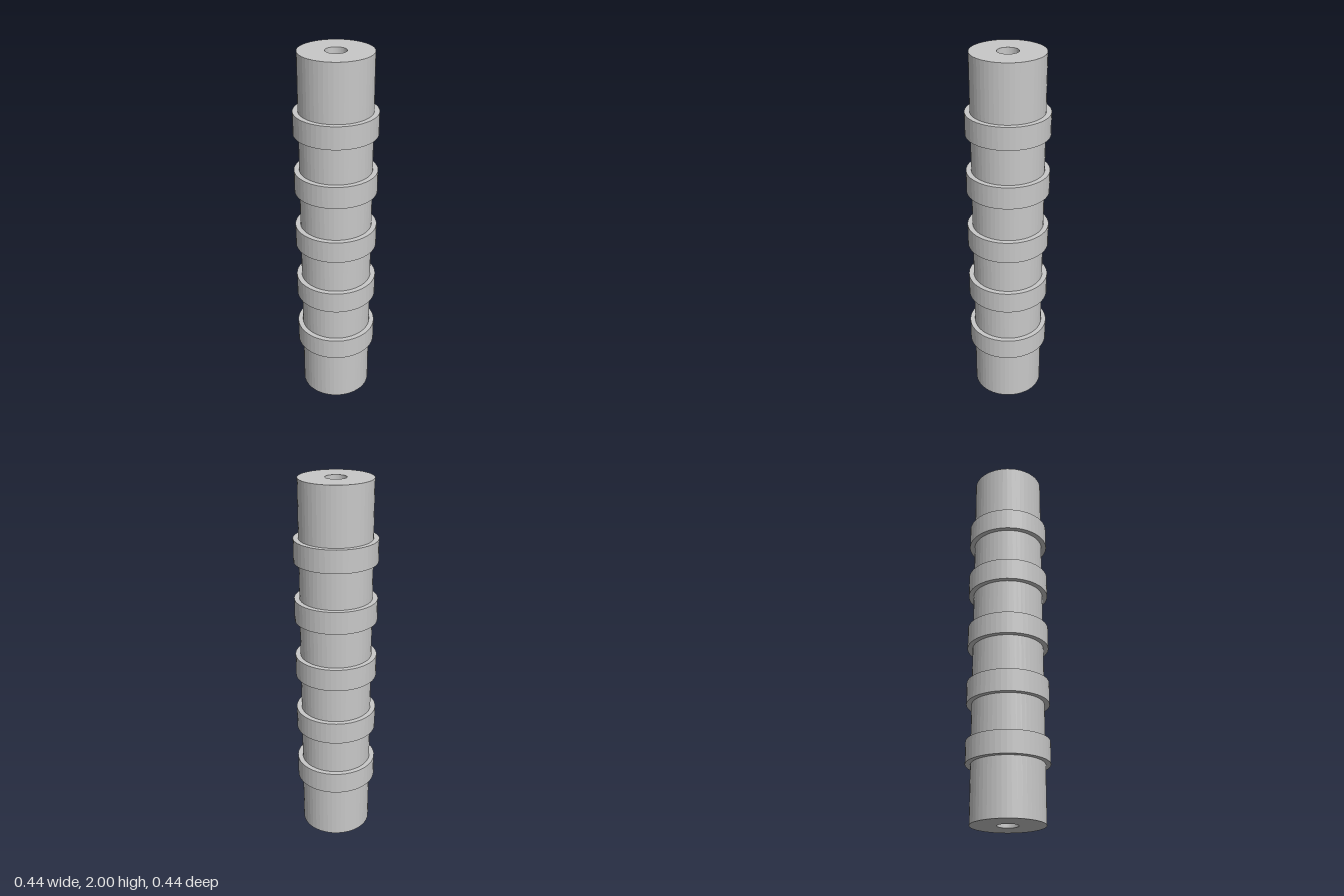
import * as THREE from 'three';

const SIDES = 48;
const BORE = 0.055, SHAFT = 0.191, COLLAR = 0.218;

// Turns a list of [radius, height] pairs into a faceted ring of revolution
function turned(profile) {
  const points = profile.map(([r, y]) => new THREE.Vector2(r, y));
  const geometry = new THREE.LatheGeometry(points, SIDES).toNonIndexed();
  geometry.computeVertexNormals(); // flat facets, crisp edges
  return geometry;
}

export function createModel() {
  const model = new THREE.Group();
  model.name = 'ribbedTube';

  const lightGrey = new THREE.MeshStandardMaterial({ color: 0xc8c8c8 });
  lightGrey.name = 'lightGrey';

  // Thick tube with a bore right through it
  const tube = new THREE.Mesh(
    turned([[BORE, 0], [SHAFT, 0], [SHAFT, 2], [BORE, 2], [BORE, 0]]), lightGrey);
  tube.name = 'tube';
  model.add(tube);

  // Five evenly spaced collars around the tube
  const h = 0.06;
  const collarGeometry = turned([[SHAFT, -h], [COLLAR, -h], [COLLAR, h], [SHAFT, h]]);
  for (let i = 0; i < 5; i++) {
    const collar = new THREE.Mesh(collarGeometry, lightGrey);
    collar.name = `collar${i + 1}`;
    collar.position.y = 1 + (i - 2) * 0.319;
    model.add(collar);
  }

  return model;
}
